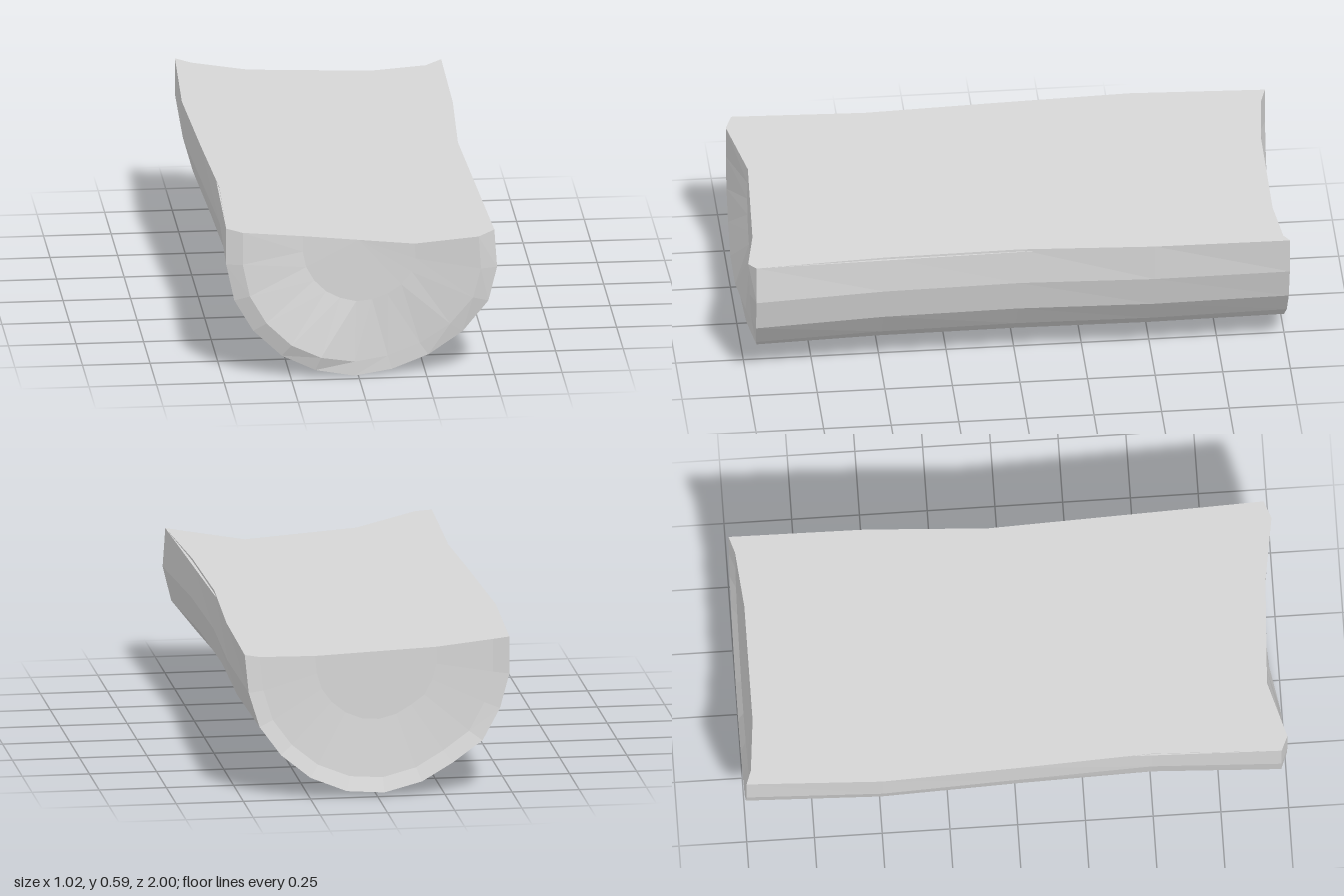
import * as THREE from 'three';

// Outlines of the rounded underside, from the right (-x) corner to the left (+x) corner
const FRONT = [
  [-0.49, 0.59], [-0.49, 0.45], [-0.46, 0.31], [-0.39, 0.19], [-0.285, 0.09], [-0.16, 0.03], [-0.015, 0],
  [0.125, 0.018], [0.26, 0.07], [0.385, 0.16], [0.48, 0.28], [0.512, 0.41], [0.502, 0.555],
];
const BACK = [
  [-0.49, 0.59], [-0.49, 0.45], [-0.455, 0.32], [-0.39, 0.2], [-0.28, 0.12], [-0.165, 0.052], [-0.025, 0.015],
  [0.115, 0.025], [0.25, 0.08], [0.36, 0.17], [0.44, 0.28], [0.48, 0.41], [0.495, 0.555],
];

// Cross-sections along the log: z, sideways lean, width scale
const SECTIONS = [[-1, 0, 1], [-0.5, -0.015, 1.015], [0, -0.02, 0.965], [0.5, -0.004, 0.95], [0.975, 0, 1]];

// Uneven depth of the front rim, its ridge and its inner hollow, along the outline
const RIM_Z = [0.975, 0.975, 0.975, 0.975, 0.975, 0.975, 0.965, 0.952, 0.952, 0.965, 0.975, 0.975, 0.975];
const RIDGE_Z = [1, 1, 1, 1, 1, 0.993, 0.967, 0.953, 0.953, 0.972, 0.988, 0.995, 1];
const HOLLOW_Z = FRONT.map((p, j) => 0.94 + 0.022 * j / (FRONT.length - 1));

const section = ([z, lean, scale]) => FRONT.map((f, j) => {
  const t = (0.975 - z) / 1.975;
  const [x, y] = f.map((v, k) => v + (BACK[j][k] - v) * t);
  return [x * scale + lean * y / 0.59, y, z];
});

const withDepth = (ring, depths) => ring.map(([x, y], j) => [x, y, depths[j]]);

// Smaller copy of an outline whose two upper ends sit at given heights
function inset(ring, scale, z, yRight, yLeft) {
  return ring.map(([x, y], j) => {
    const t = j / (ring.length - 1);
    const endY = yRight + (yLeft - yRight) * t;
    const chord = ring[0][1] + (ring[ring.length - 1][1] - ring[0][1]) * t;
    return [x * scale, endY + (y - chord) * scale, z];
  });
}

// Faceted mesh from a list of triangle corners
function facets(name, corners, material) {
  const geometry = new THREE.BufferGeometry();
  geometry.setAttribute('position', new THREE.Float32BufferAttribute(corners.flat(), 3));
  geometry.computeVertexNormals();
  const mesh = new THREE.Mesh(geometry, material);
  mesh.name = name;
  return mesh;
}

// Triangles between rows of points
function skin(rows, flip) {
  const out = [];
  for (let i = 0; i < rows.length - 1; i++) {
    for (let j = 0; j < rows[i].length - 1; j++) {
      const a = rows[i][j], b = rows[i][j + 1], c = rows[i + 1][j + 1], d = rows[i + 1][j];
      out.push(...(flip ? [a, c, b, a, d, c] : [a, b, c, a, c, d]));
    }
  }
  return out;
}

// Triangles from one point to a chain of points
const fan = (apex, chain) => chain.slice(1).flatMap((p, i) => [apex, chain[i], p]);

export function createModel() {
  const group = new THREE.Group();
  group.name = 'halfLog';
  const wood = new THREE.MeshStandardMaterial({ color: 0xd6d6d6 });
  wood.name = 'paleGrey';

  const last = FRONT.length - 1;
  const rings = SECTIONS.map(section);
  const back = rings[0];
  const front = withDepth(rings[4], RIM_Z);
  rings[4] = front;

  // Rings of the two hollowed ends, from rim to centre
  const frontRings = [
    front,
    withDepth(inset(front, 0.88, 1, 0.58, 0.538), RIDGE_Z),
    withDepth(inset(front, 0.415, 0.95, 0.54, 0.505), HOLLOW_Z),
  ];
  const backRings = [back, inset(back, 0.88, -0.98, 0.578, 0.54), inset(back, 0.46, -0.96, 0.551, 0.532)];
  for (const list of [frontRings, backRings]) {
    const inner = list[2];
    const centre = inner[0].map((v, k) => (v + inner[last][k]) / 2);
    list.push(inner.map(() => centre));
  }

  // Cut top: narrow strips along both sides, long facets between the dipped ends
  const endRow = (r) => [r[0][0], r[1][0], r[2][0], r[2][last], r[1][last], r[0][last]];
  const F = endRow(frontRings), B = endRow(backRings);
  const rightSide = rings.map((r) => r[0]);
  const leftSide = rings.map((r) => r[last]).reverse();
  const top = facets('cutTop', [
    ...fan(B[1], [...rightSide, F[1]]),
    ...fan(B[4], [F[4], ...leftSide]),
    ...fan(B[4], F.slice(1, 5)),
    ...fan(F[1], B.slice(1, 5).reverse()),
  ], wood);

  // The cut is shaded as one plane
  const normals = top.geometry.attributes.normal;
  const up = new THREE.Vector3(0.035, 1, 0).normalize();
  for (let i = 0; i < normals.count; i++) normals.setXYZ(i, up.x, up.y, up.z);

  group.add(
    top,
    facets('roundedUnderside', skin(rings, false), wood),
    facets('frontEnd', skin(frontRings, false), wood),
    facets('backEnd', skin(backRings, true), wood),
  );
  return group;
}
